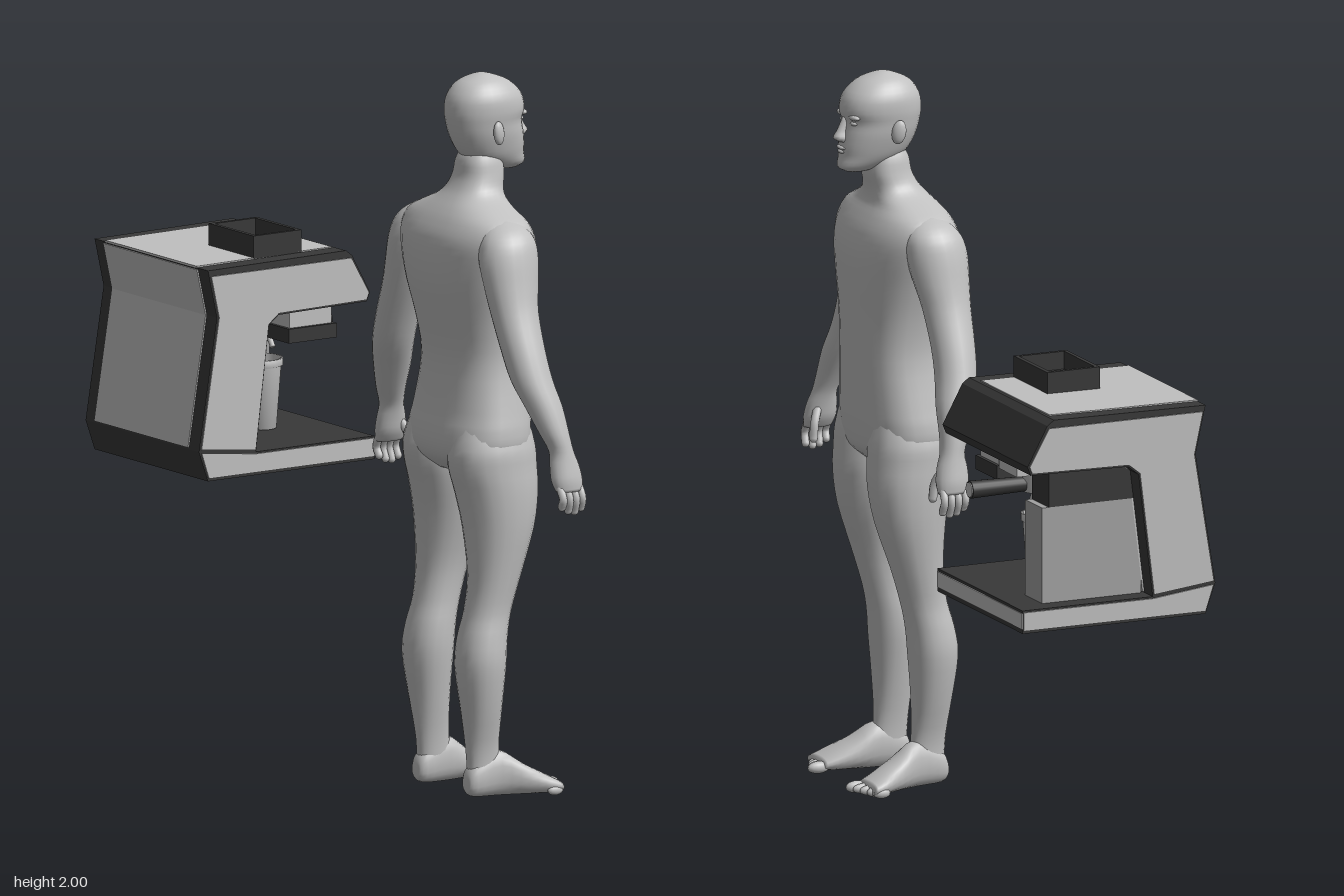
import * as THREE from 'three';

const mat = (name, color) => {
  const m = new THREE.MeshStandardMaterial({ color });
  m.name = name;
  return m;
};

export function createModel() {
  const skin = mat('body grey', 0xc0c0c0);
  const light = mat('light panel grey', 0xc0c0c0);
  const dark = mat('dark trim', 0x383838);
  const mid = mat('mid grey', 0xa2a2a2);
  const root = new THREE.Group();
  const person = new THREE.Group(), machine = new THREE.Group();
  person.name = 'standingFigure';
  machine.name = 'coffeeMachine';
  root.add(person, machine);
  const add = (parent, name, geo, m, x = 0, y = 0, z = 0) => {
    const mesh = new THREE.Mesh(geo, m);
    mesh.name = name;
    mesh.position.set(x, y, z);
    parent.add(mesh);
    return mesh;
  };

  // Smooth skin through rings [t, aMin, aMax, bMin, bMax], t ascending.
  // Along y: a is x and b is z. Along x: a is y and b is z.
  function loft(rings, { n = 20, power = 2, alongX = false } = {}) {
    const steps = 3, rows = [], cr = (a, b, c, d, t) =>
      b + 0.5 * t * (c - a + t * (2 * a - 5 * b + 4 * c - d + t * (3 * (b - c) + d - a)));
    const at = i => rings[Math.max(0, Math.min(rings.length - 1, i))];
    for (let i = 0; i < rings.length - 1; i++)
      for (let k = 0; k < steps; k++)
        rows.push(at(i).map((_, j) => cr(at(i - 1)[j], at(i)[j], at(i + 1)[j], at(i + 2)[j], k / steps)));
    rows.push(at(rings.length - 1));
    const close = r => [r[0], (r[1] + r[2]) / 2, (r[1] + r[2]) / 2, (r[3] + r[4]) / 2, (r[3] + r[4]) / 2];
    rows.unshift(close(rows[0]));
    rows.push(close(rows[rows.length - 1]));
    const pos = [], idx = [];
    const sp = v => Math.sign(v) * Math.pow(Math.abs(v), 2 / power);
    rows.forEach(([t, a0, a1, b0, b1], r) => {
      for (let i = 0; i < n; i++) {
        const q = (i / n) * Math.PI * 2;
        const a = (a0 + a1) / 2 + (a1 - a0) / 2 * sp(Math.cos(q));
        const b = (b0 + b1) / 2 + (b1 - b0) / 2 * sp(Math.sin(q));
        if (alongX) pos.push(t, a, b); else pos.push(a, t, b);
        if (r === rows.length - 1) continue;
        const p = r * n + i, s = r * n + (i + 1) % n;
        if (alongX) idx.push(p, s, p + n, s, s + n, p + n);
        else idx.push(p, p + n, s, s, p + n, s + n);
      }
    });
    const g = new THREE.BufferGeometry();
    g.setAttribute('position', new THREE.Float32BufferAttribute(pos, 3));
    g.setIndex(idx);
    g.computeVertexNormals();
    return g;
  }
  const C = 0.479; // centre plane of the figure
  const blob = (name, x, y, off, rx, ry, rz) => {
    const m = add(person, name, new THREE.SphereGeometry(1, 14, 10), skin, x, y, C + off);
    m.scale.set(rx, ry, rz);
    return m;
  };
  const sym = list => list.map(([y, b, f, h]) => [y, b, f, C - h, C + h]);

  // Torso and neck: [y, back, front, half width]
  add(person, 'torso', loft(sym([
    [0.905, -0.09, 0.07, 0.09], [0.94, -0.13, 0.108, 0.175], [0.98, -0.142, 0.118, 0.203],
    [1.03, -0.137, 0.123, 0.203], [1.08, -0.126, 0.125, 0.193], [1.21, -0.112, 0.13, 0.17],
    [1.32, -0.13, 0.132, 0.178], [1.42, -0.153, 0.137, 0.2], [1.5, -0.158, 0.136, 0.222],
    [1.56, -0.15, 0.122, 0.235], [1.605, -0.127, 0.098, 0.222], [1.635, -0.105, 0.08, 0.165],
    [1.66, -0.083, 0.076, 0.11], [1.685, -0.063, 0.078, 0.083], [1.72, -0.045, 0.085, 0.072],
    [1.76, -0.038, 0.082, 0.064], [1.79, -0.022, 0.07, 0.05],
  ]), { n: 32, power: 2.45 }), skin);

  // Head
  add(person, 'head', loft(sym([
    [1.728, 0.075, 0.145, 0.025], [1.742, 0.03, 0.166, 0.045], [1.77, -0.025, 0.161, 0.063],
    [1.8, -0.05, 0.16, 0.074], [1.835, -0.065, 0.154, 0.083], [1.868, -0.073, 0.147, 0.087],
    [1.9, -0.077, 0.156, 0.091], [1.94, -0.07, 0.145, 0.087], [1.975, -0.043, 0.11, 0.064],
    [1.993, -0.005, 0.068, 0.034], [2, 0.02, 0.042, 0.012],
  ]), { n: 28, power: 2.15 }), skin);
  add(person, 'nose', loft(sym([
    [1.813, 0.13, 0.165, 0.018], [1.825, 0.13, 0.181, 0.02], [1.845, 0.13, 0.17, 0.013], [1.882, 0.13, 0.152, 0.009],
  ]), { n: 12 }), skin);
  blob('upperLip', 0.156, 1.796, 0, 0.01, 0.006, 0.024);
  blob('lowerLip', 0.155, 1.785, 0, 0.01, 0.006, 0.02);

  for (const s of [1, -1]) {
    const side = s > 0 ? 'right' : 'left';
    const span = list => list.map(([t, a0, a1, zi, zo]) =>
      [t, a0, a1, C + Math.min(s * zi, s * zo), C + Math.max(s * zi, s * zo)]);
    blob(side + 'Eye', 0.132, 1.868, s * 0.034, 0.012, 0.007, 0.014);
    blob(side + 'Brow', 0.135, 1.886, s * 0.036, 0.014, 0.009, 0.028);
    blob(side + 'Ear', 0.025, 1.845, s * 0.093, 0.02, 0.034, 0.012).rotation.set(0, s * 0.35, 0.15);

    // Leg: [y, back, front, inner, outer]
    add(person, side + 'Leg', loft(span([
      [0.04, -0.095, 0.02, 0.09, 0.155], [0.13, -0.1, 0, 0.087, 0.155], [0.25, -0.115, 0, 0.07, 0.182],
      [0.37, -0.13, 0.008, 0.055, 0.2], [0.45, -0.12, 0.015, 0.055, 0.195], [0.52, -0.1, 0.03, 0.06, 0.187],
      [0.62, -0.087, 0.06, 0.054, 0.197], [0.75, -0.095, 0.103, 0.026, 0.212], [0.85, -0.115, 0.12, 0.008, 0.216],
      [0.92, -0.135, 0.12, 0.004, 0.213], [0.98, -0.136, 0.116, 0.008, 0.208], [1.06, -0.11, 0.1, 0.03, 0.178],
    ]), { power: 2.15 }), skin);
    // Foot: [x, bottom, top, inner, outer]
    add(person, side + 'Foot', loft(span([
      [-0.105, 0.02, 0.06, 0.105, 0.14], [-0.085, 0.004, 0.095, 0.09, 0.155], [-0.01, 0, 0.13, 0.087, 0.165],
      [0.06, 0, 0.088, 0.088, 0.195], [0.12, 0, 0.055, 0.098, 0.218], [0.155, 0.004, 0.036, 0.108, 0.222],
    ]), { alongX: true, power: 2.3 }), skin);
    for (let i = 0; i < 5; i++)
      blob(side + 'Toe' + i, 0.168 - i * 0.009, 0.016 - i * 0.001, s * (0.123 + i * 0.022),
        0.033 - i * 0.002, i ? 0.014 : 0.017, i ? 0.012 : 0.016);

    // Arm: [y, centre x, half depth, offset, half width]
    add(person, side + 'Arm', loft(span([
      [0.9, 0.024, 0.042, 0.436, 0.022], [0.93, 0.021, 0.048, 0.428, 0.031], [0.97, 0.018, 0.044, 0.42, 0.032],
      [1.01, 0.013, 0.035, 0.411, 0.034], [1.06, 0, 0.042, 0.395, 0.042], [1.13, -0.015, 0.053, 0.367, 0.051],
      [1.2, -0.033, 0.059, 0.336, 0.057], [1.28, -0.04, 0.062, 0.304, 0.06], [1.38, -0.04, 0.069, 0.262, 0.062],
      [1.45, -0.035, 0.08, 0.239, 0.066], [1.52, -0.03, 0.088, 0.219, 0.071], [1.57, -0.025, 0.08, 0.207, 0.066],
      [1.603, -0.022, 0.056, 0.19, 0.05], [1.622, -0.02, 0.022, 0.172, 0.02],
    ].map(([y, x, rx, o, rz]) => [y, x - rx, x + rx, o - rz, o + rz]))), skin);

    // Fingers and thumb
    const digit = (name, r, pts) => {
      const v = pts.map(([x, y, o]) => new THREE.Vector3(x, y, C + s * o));
      add(person, name, new THREE.TubeGeometry(new THREE.CatmullRomCurve3(v), 8, r, 8), skin);
      const e = v[v.length - 1];
      add(person, name + 'Tip', new THREE.SphereGeometry(r, 8, 6), skin, e.x, e.y, e.z);
    };
    for (let i = 0; i < 4; i++) {
      const x = -0.01 + i * 0.021, d = [0.015, 0.004, 0, 0.008][i];
      digit(side + 'Finger' + i, 0.0115, [[x, 0.92, 0.433], [x + 0.002, 0.88, 0.453], [x + 0.004, 0.843 + d, 0.443]]);
    }
    digit(side + 'Thumb', 0.0125, [[0.035, 0.965, 0.408], [0.055, 0.92, 0.388], [0.06, 0.878, 0.385]]);
  }

  // Machine housing: profiles in x and y, drawn out along z
  const slab = (name, pts, z0, z1, m) => add(machine, name, new THREE.ExtrudeGeometry(
    new THREE.Shape(pts.map(p => new THREE.Vector2(...p))), { depth: z1 - z0, bevelEnabled: false }), m, 0, 0, z0);
  const box = (name, x0, x1, y0, y1, z0, z1, m) => add(machine, name,
    new THREE.BoxGeometry(x1 - x0, y1 - y0, z1 - z0), m, (x0 + x1) / 2, (y0 + y1) / 2, (z0 + z1) / 2);
  slab('housing', [
    [-0.28, 0.745], [0.275, 0.745], [0.275, 0.81], [-0.12, 0.81], [-0.077, 1.16], [-0.045, 1.185],
    [0.25, 1.19], [0.26, 1.215], [0.2, 1.325], [0.18, 1.34], [-0.28, 1.335], [-0.25, 1.2], [-0.31, 0.83],
  ], -0.945, -0.395, dark);
  for (const z of [-0.395, -0.949]) {
    slab('sidePanel', [
      [-0.304, 0.836], [-0.123, 0.816], [-0.08, 1.163], [-0.046, 1.19], [0.247, 1.195], [0.255, 1.215],
      [0.196, 1.318], [-0.271, 1.318], [-0.245, 1.2],
    ], z, z + 0.004, light);
    slab('baseSidePanel', [[-0.279, 0.753], [0.273, 0.753], [0.273, 0.805], [-0.12, 0.805], [-0.303, 0.826]], z, z + 0.004, light);
  }
  slab('backPanel', [
    [-0.283, 1.33], [-0.254, 1.2], [-0.313, 0.835], [-0.305, 0.835], [-0.246, 1.2], [-0.275, 1.33],
  ], -0.9, -0.445, light);
  slab('topPanel', [[-0.28, 1.334], [0.17, 1.338], [0.17, 1.343], [-0.28, 1.339]], -0.895, -0.45, light);
  slab('innerWall', [[-0.125, 0.812], [-0.115, 0.812], [-0.072, 1.16], [-0.046, 1.182], [-0.056, 1.182], [-0.082, 1.16]],
    -0.89, -0.45, light);
  box('baseFrontStrip', 0.273, 0.278, 0.758, 0.802, -0.943, -0.397, light);
  box('underPanel', -0.25, 0.245, 0.741, 0.746, -0.915, -0.425, light);

  // Tank beside the cup
  box('tank', -0.11, 0.19, 0.81, 1.08, -0.89, -0.78, mid);
  box('tankLid', -0.09, 0.17, 1.08, 1.19, -0.89, -0.78, dark);

  // Open tray on the roof
  box('trayFloor', -0.09, 0.07, 1.338, 1.352, -0.668, -0.45, dark);
  for (const x of [-0.09, 0.058]) box('trayWall', x, x + 0.012, 1.345, 1.402, -0.668, -0.45, dark);
  for (const z of [-0.668, -0.462]) box('trayWall', -0.078, 0.058, 1.345, 1.402, z, z + 0.012, dark);

  // Grinder outlet, brew head and handle
  box('grinderOutlet', 0.03, 0.17, 1.13, 1.19, -0.565, -0.45, light);
  box('grinderCollar', 0.02, 0.18, 1.09, 1.13, -0.578, -0.438, dark);
  box('brewHead', 0.05, 0.188, 1.13, 1.19, -0.722, -0.608, light);
  add(machine, 'filterBasket', new THREE.CylinderGeometry(0.05, 0.042, 0.055, 20), light, 0.1, 1.1, -0.667);
  for (const s of [1, -1])
    add(machine, 'filterSpout', new THREE.CylinderGeometry(0.008, 0.008, 0.05, 10), light, 0.1, 1.06, -0.667 + s * 0.02)
      .rotation.x = -s * 0.6;
  add(machine, 'filterHandle', new THREE.CylinderGeometry(0.025, 0.021, 0.165, 16), dark, 0.223, 1.095, -0.667)
    .rotation.z = -Math.PI / 2;
  add(machine, 'handleCap', new THREE.CylinderGeometry(0.021, 0.021, 0.004, 16), light, 0.306, 1.095, -0.667)
    .rotation.z = -Math.PI / 2;

  // Cup
  const cup = [[0, 0.812], [0.046, 0.812], [0.059, 0.985], [0.064, 0.988], [0.064, 1.008], [0.057, 1.008], [0.044, 0.83], [0, 0.83]];
  add(machine, 'cup', new THREE.LatheGeometry(cup.map(p => new THREE.Vector2(...p)), 24), light, 0.08, 0, -0.667);
  return root;
}
